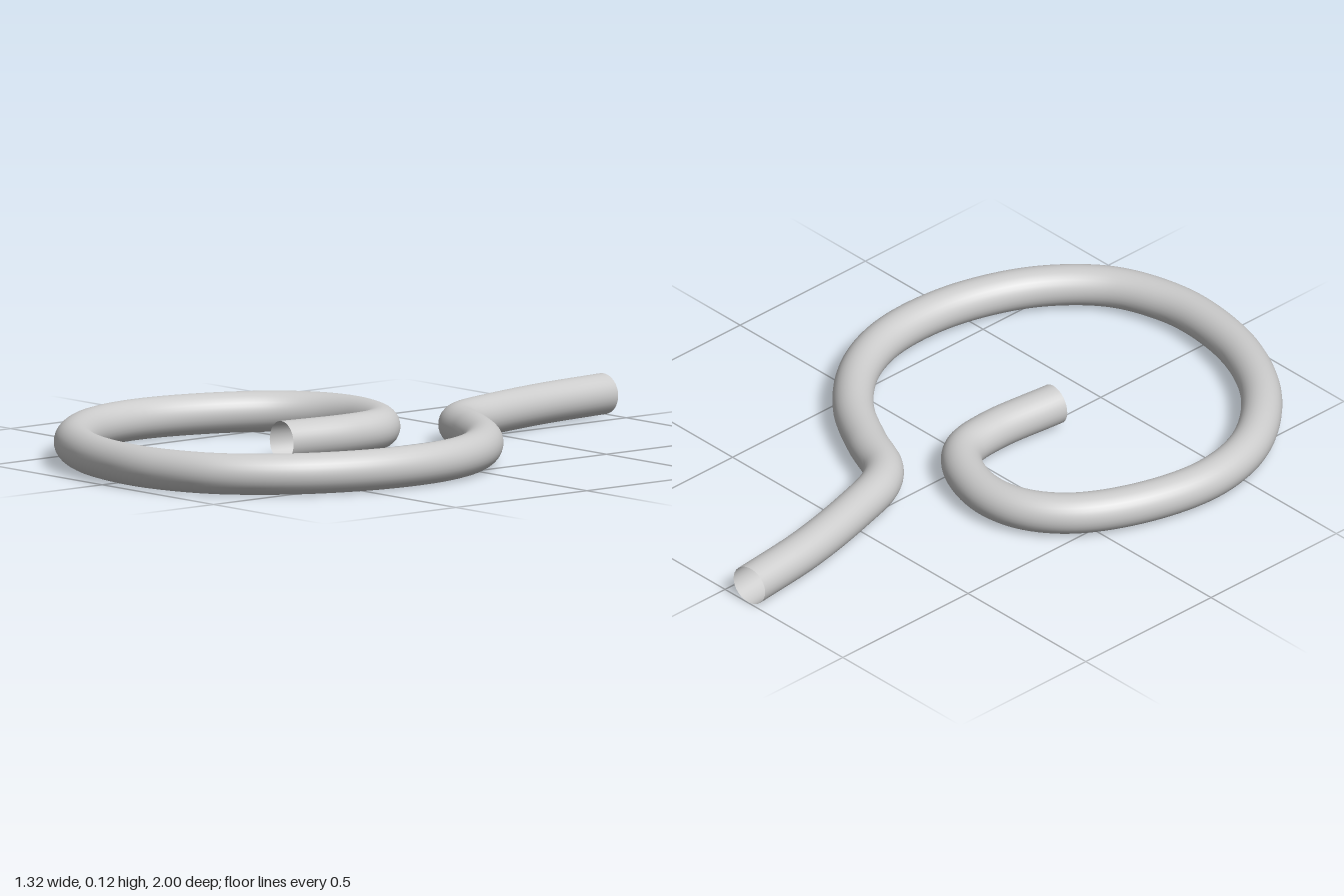
import * as THREE from 'three';

export function createModel() {
  const group = new THREE.Group();
  const radius = 0.06;

  // Centre line of the bent rod as [x, z], from the straight tail round the loop to the inner end
  const path = [
    [-0.10, -0.997], [-0.07, -0.74], [-0.015, -0.5], [0.035, -0.35], [0.09, -0.285],
    [0.22, -0.225], [0.38, -0.13], [0.51, 0.01], [0.58, 0.16], [0.60, 0.32],
    [0.575, 0.51], [0.49, 0.71], [0.35, 0.86], [0.19, 0.925], [0.04, 0.938],
    [-0.18, 0.895], [-0.39, 0.775], [-0.55, 0.575], [-0.60, 0.37], [-0.56, 0.14],
    [-0.46, -0.05], [-0.34, -0.14], [-0.21, -0.16], [-0.07, -0.115], [0.0, -0.045],
    [0.02, 0.08], [0.0, 0.315],
  ];
  const curve = new THREE.CatmullRomCurve3(path.map(([x, z]) => new THREE.Vector3(x, radius, z)));

  // Hollow tube, open at both ends
  const rod = new THREE.Mesh(
    new THREE.TubeGeometry(curve, 240, radius, 32, false),
    new THREE.MeshStandardMaterial({ color: 0xcccccc, side: THREE.DoubleSide })
  );
  rod.name = 'bentRod';
  group.add(rod);
  return group;
}
